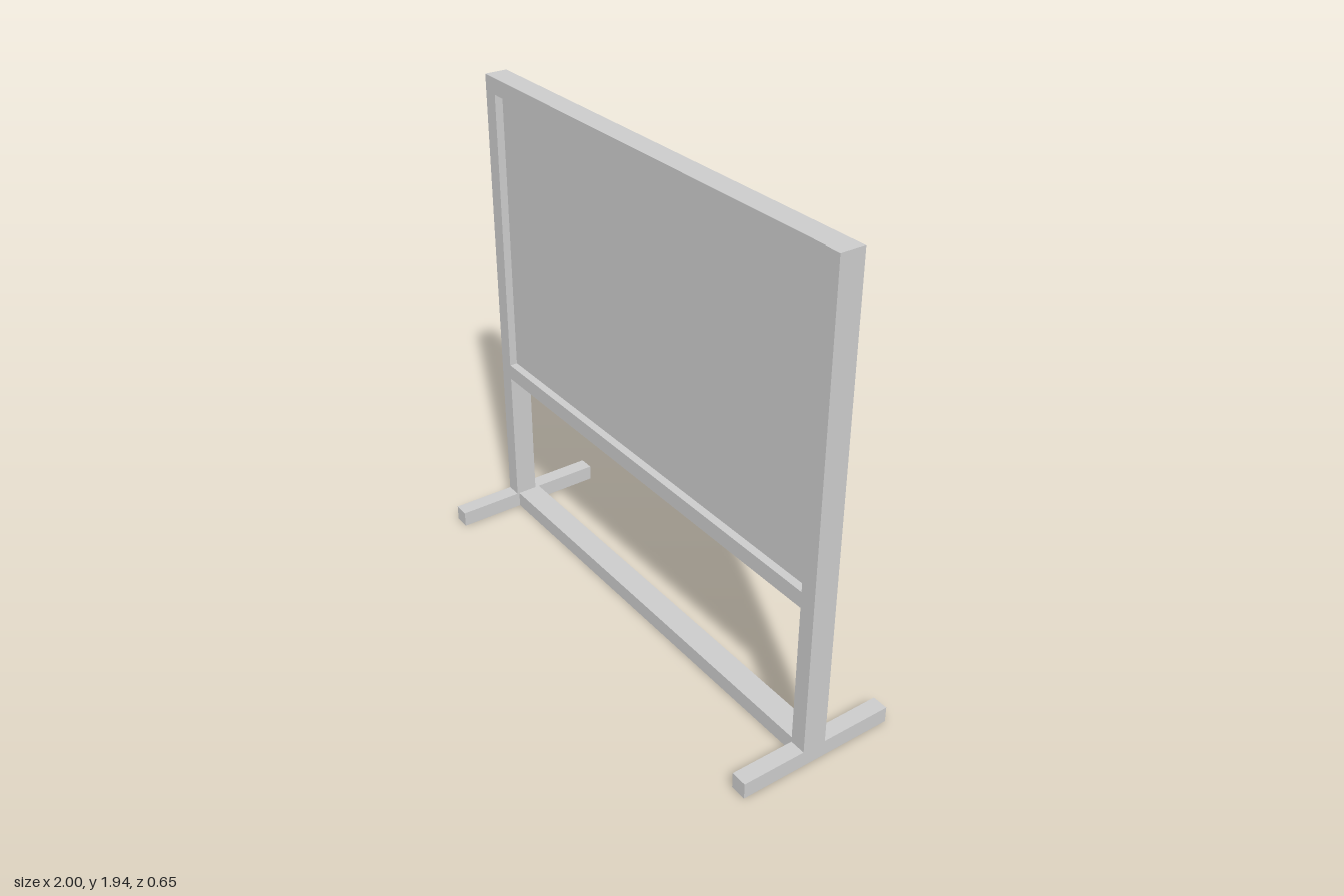
import * as THREE from 'three';

const U = 2 / 31; // square bar thickness

export function createModel() {
  const group = new THREE.Group();
  const mat = new THREE.MeshStandardMaterial({ color: 0xcccccc, flatShading: true });

  // Box given by its extents on each axis
  const box = (name, [x0, x1], [y0, y1], [z0, z1]) => {
    const mesh = new THREE.Mesh(new THREE.BoxGeometry(x1 - x0, y1 - y0, z1 - z0), mat);
    mesh.position.set((x0 + x1) / 2, (y0 + y1) / 2, (z0 + z1) / 2);
    mesh.name = name;
    group.add(mesh);
  };

  const inner = [-14.5 * U, 14.5 * U];
  const back = -0.5 * U, front = 0.059;

  // Upright posts (the left one stands slightly proud) and their feet
  for (const s of [-1, 1]) {
    const side = s > 0 ? 'left' : 'right';
    const xs = s > 0 ? [14.5 * U, 15.5 * U] : [-15.5 * U, -14.5 * U];
    box(side + 'Post', xs, [U, 30 * U], [back, s > 0 ? U : front]);
    box(side + 'Foot', xs, [0, U], [-5 * U, 5 * U]);
  }

  // Rails above and below the board
  box('topRail', inner, [29 * U, 30 * U], [back, front]);
  box('lowerRail', inner, [10 * U, 11 * U], [back, front]);

  // Board panel, recessed deeper at the front than at the back
  box('boardPanel', inner, [11 * U, 29 * U], [-0.022, 0.027]);

  // Floor beam joining the feet
  box('floorBeam', inner, [0, U], [-0.05, 0.05]);

  return group;
}
